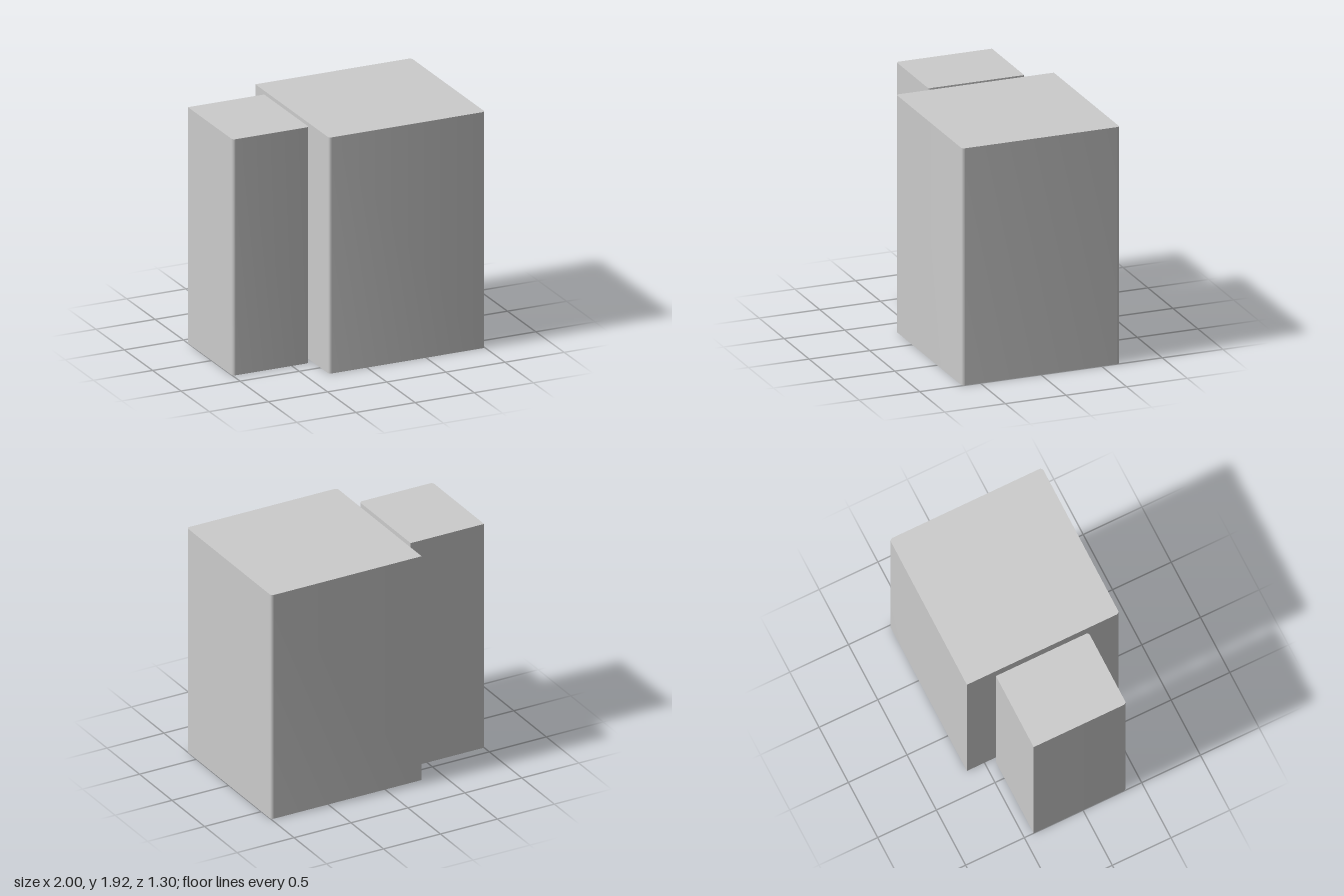
import * as THREE from 'three';
import { toCreasedNormals } from 'three/addons/utils/BufferGeometryUtils.js';

const HEIGHT = 1.92;

// Upright block with its own radius on each vertical edge.
// radii order: front left (+x), back left, back right, front right
function block(name, x0, x1, z0, z1, radii, material) {
  const corners = [[x1, -z1], [x1, -z0], [x0, -z0], [x0, -z1]];
  const centre = [(x0 + x1) / 2, -(z0 + z1) / 2];
  const shape = new THREE.Shape();
  corners.forEach(([x, y], i) => {
    const r = radii[i];
    if (r === 0) {
      i === 0 ? shape.moveTo(x, y) : shape.lineTo(x, y);
      return;
    }
    const cx = x + r * Math.sign(centre[0] - x);
    const cy = y + r * Math.sign(centre[1] - y);
    const start = (i - 1) * Math.PI / 2;
    shape.absarc(cx, cy, r, start, start + Math.PI / 2, false);
  });
  shape.closePath();

  const geometry = new THREE.ExtrudeGeometry(shape, { depth: HEIGHT, bevelEnabled: false, curveSegments: 6 });
  geometry.rotateX(-Math.PI / 2);
  const mesh = new THREE.Mesh(toCreasedNormals(geometry, 0.6), material);
  mesh.name = name;
  return mesh;
}

export function createModel() {
  const model = new THREE.Group();
  model.name = 'twoBlocks';
  const grey = new THREE.MeshStandardMaterial({ color: 0xcccccc });

  // Wide block, one back edge left sharp
  model.add(block('largeBlock', -0.32, 1, -0.65, 0.65, [0.025, 0.025, 0, 0.025], grey));
  // Narrow block beside it, rounded on its front edges
  model.add(block('smallBlock', -1, -0.355, -0.42, 0.37, [0.025, 0, 0, 0.025], grey));

  return model;
}
